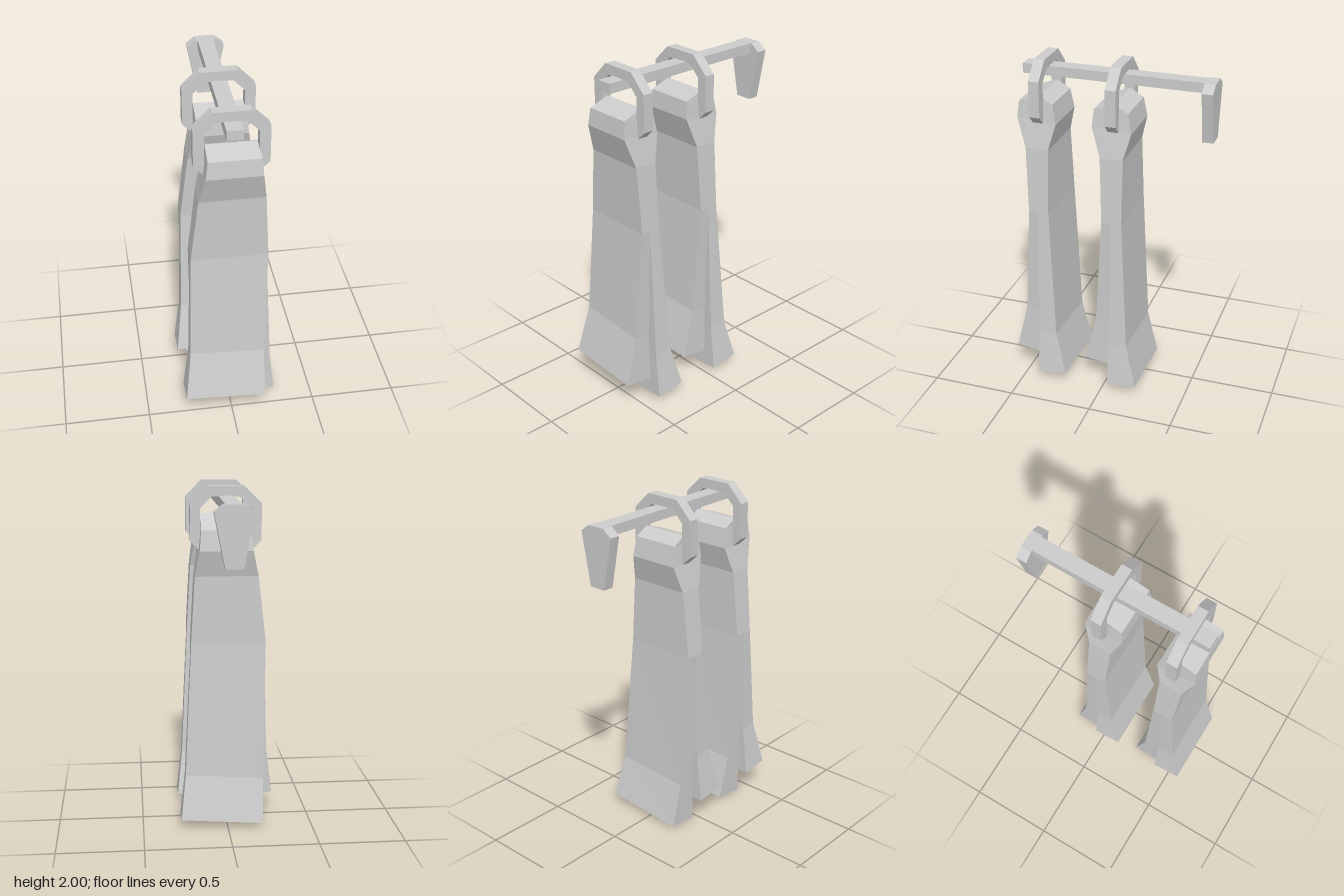
import * as THREE from 'three';

const grey = new THREE.MeshStandardMaterial({ color: 0xcccccc });
grey.name = 'plain grey';

// One cross-section: left and right x, then front and back edges as [yLeft, yRight, z]
const section = (xl, xr, f, b) => [
  [xl, f[0], f[2]], [xr, f[1], f[2]], [xr, b[1], b[2]], [xl, b[0], b[2]],
];

// Skin four-cornered sections from top to bottom with flat faces
function loft(name, sections, closeBottom) {
  const pos = [];
  const quad = (a, b, c, d) => pos.push(...a, ...b, ...c, ...a, ...c, ...d);
  for (let s = 0; s < sections.length - 1; s++) {
    const top = sections[s], low = sections[s + 1];
    for (let i = 0; i < 4; i++) {
      const j = (i + 1) % 4;
      quad(top[i], low[i], low[j], top[j]);
    }
  }
  if (closeBottom) {
    const e = sections[sections.length - 1];
    quad(e[3], e[2], e[1], e[0]);
  }
  const geo = new THREE.BufferGeometry();
  geo.setAttribute('position', new THREE.Float32BufferAttribute(pos, 3));
  geo.computeVertexNormals();
  return named(name, geo);
}

function named(name, geo) {
  const mesh = new THREE.Mesh(geo, grey);
  mesh.name = name;
  return mesh;
}

const points = (list) => list.map(([x, y]) => new THREE.Vector2(x, y));

// Flat outline extruded along z, centred on z = 0
function plate(name, outline, depth, hole) {
  const shape = new THREE.Shape(points(outline));
  if (hole) shape.holes.push(new THREE.Path(points(hole)));
  const geo = new THREE.ExtrudeGeometry(shape, { depth, bevelEnabled: false });
  geo.translate(0, 0, -depth / 2);
  return named(name, geo);
}

// Octagon with half width r and flat half length c
const octagon = (r, c) => [
  [c, r], [-c, r], [-r, c], [-r, -c], [-c, -r], [c, -r], [r, -c], [r, c],
];

function createTowel() {
  const towel = new THREE.Group();
  towel.name = 'hangingTowel';

  // Gathered upper cloth, ending where the two flaps part
  towel.add(loft('towelTop', [
    section(-0.14, 0.14, [1.8, 1.8, -0.005], [1.8, 1.8, -0.005]),
    section(-0.14, 0.145, [1.76, 1.76, 0.115], [1.755, 1.755, -0.085]),
    section(-0.152, 0.155, [1.66, 1.66, 0.125], [1.64, 1.64, -0.105]),
    section(-0.185, 0.182, [1.49, 1.49, 0.07], [1.49, 1.49, -0.065]),
    section(-0.23, 0.205, [1.1, 1.1, 0.055], [1.1, 1.1, -0.065]),
  ], false));

  // Shorter front flap
  towel.add(loft('frontFlap', [
    section(-0.23, 0.205, [1.1, 1.1, 0.055], [1.1, 1.1, 0]),
    section(-0.245, 0.185, [0.46, 0.435, 0.1], [0.44, 0.415, 0]),
    section(-0.28, 0.19, [0.17, 0.145, 0.17], [0.15, 0.12, 0.003]),
  ], true));

  // Longer back flap
  towel.add(loft('backFlap', [
    section(-0.23, 0.205, [1.1, 1.1, 0], [1.1, 1.1, -0.065]),
    section(-0.215, 0.245, [0.27, 0.3, 0], [0.28, 0.31, -0.11]),
    section(-0.21, 0.275, [0, 0.033, 0.003], [0.02, 0.055, -0.175]),
  ], true));

  // Octagonal hanging ring passing through the cloth
  const ring = plate('hangingRing', octagon(0.205, 0.105), 0.062, octagon(0.146, 0.08));
  ring.position.y = 1.795;
  towel.add(ring);
  return towel;
}

export function createModel() {
  const model = new THREE.Group();
  model.name = 'towelRack';

  // Rod running front to back
  const rod = named('rod', new THREE.BoxGeometry(0.09, 0.057, 1.07));
  rod.position.set(0, 1.916, 0);
  model.add(rod);

  // Tapered wall bracket at the back end
  const bracket = plate('wallBracket', [
    [0.055, 1.945], [-0.055, 1.945], [-0.108, 1.905],
    [-0.05, 1.605], [0.05, 1.605], [0.108, 1.905],
  ], 0.063);
  bracket.position.z = -0.549;
  model.add(bracket);

  for (const z of [0.408, -0.037]) {
    const towel = createTowel();
    towel.position.z = z;
    model.add(towel);
  }
  return model;
}
